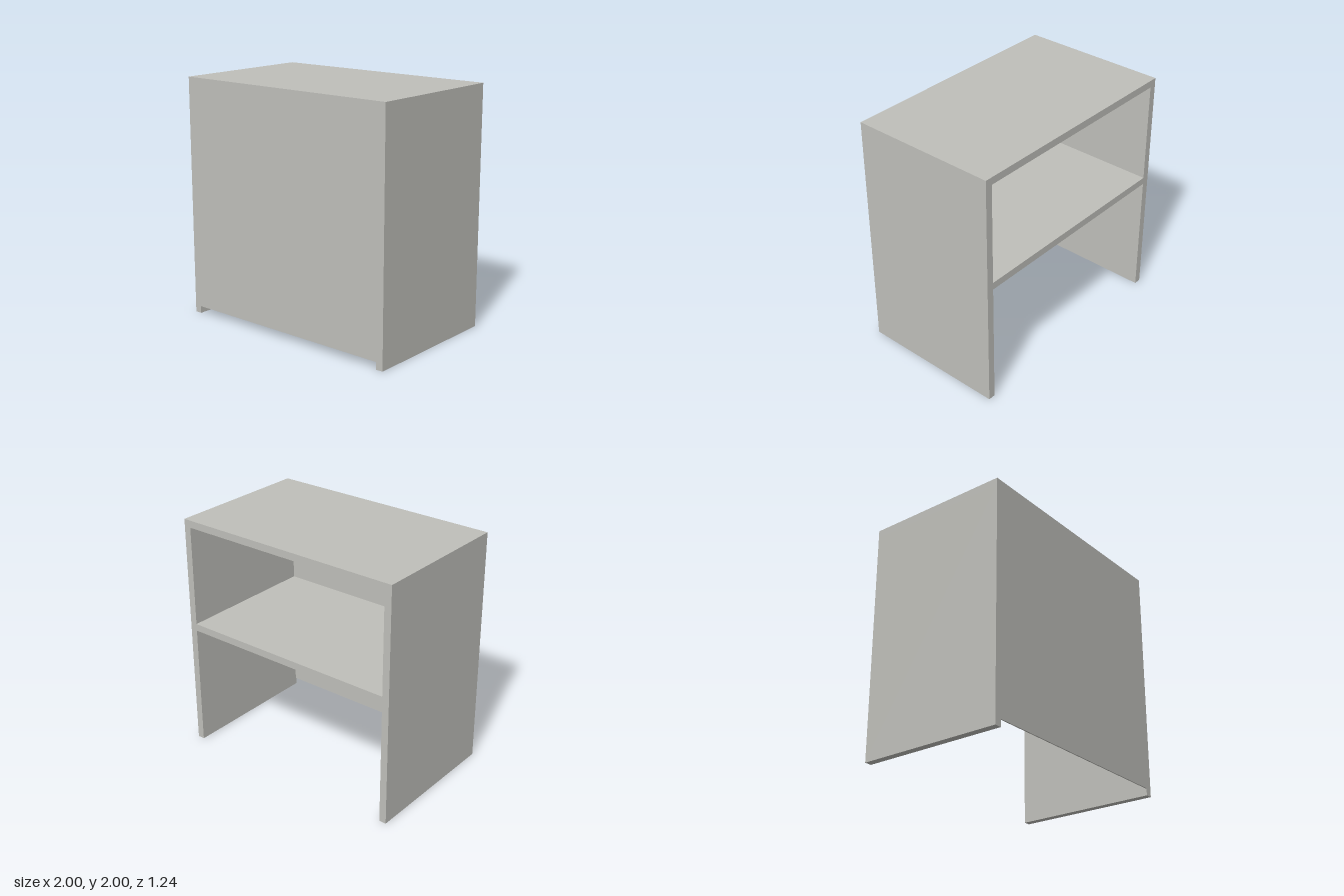
import * as THREE from 'three';

const WIDTH = 2, HEIGHT = 2, DEPTH = 1.235;
const BOARD = 0.06; // thickness of sides, top and shelf
const PANEL = 0.01; // thickness of the front sheet

export function createModel() {
  const group = new THREE.Group();
  group.name = 'shelfUnit';
  const paint = new THREE.MeshStandardMaterial({ color: 0xbfbfba });
  paint.name = 'warm grey';

  // Adds a board from its lower and upper corners
  function board(name, [x0, y0, z0], [x1, y1, z1]) {
    const mesh = new THREE.Mesh(new THREE.BoxGeometry(x1 - x0, y1 - y0, z1 - z0), paint);
    mesh.position.set((x0 + x1) / 2, (y0 + y1) / 2, (z0 + z1) / 2);
    mesh.name = name;
    group.add(mesh);
  }

  const outer = WIDTH / 2, inner = outer - BOARD;
  const front = DEPTH / 2, back = -front;
  const underTop = HEIGHT - BOARD;
  const shelfTop = 1.1;

  // Sides run to the floor and act as feet
  board('leftSide', [inner, 0, back], [outer, underTop, front]);
  board('rightSide', [-outer, 0, back], [-inner, underTop, front]);

  // Top rests on both sides
  board('top', [-outer, underTop, back], [outer, HEIGHT, front]);

  // Thin closed front, flush with the sides and raised off the floor
  board('frontPanel', [-inner, BOARD, front - PANEL], [inner, underTop, front]);

  // Single shelf, open to the back
  board('shelf', [-inner, shelfTop - BOARD, back], [inner, shelfTop, front - PANEL]);

  return group;
}
